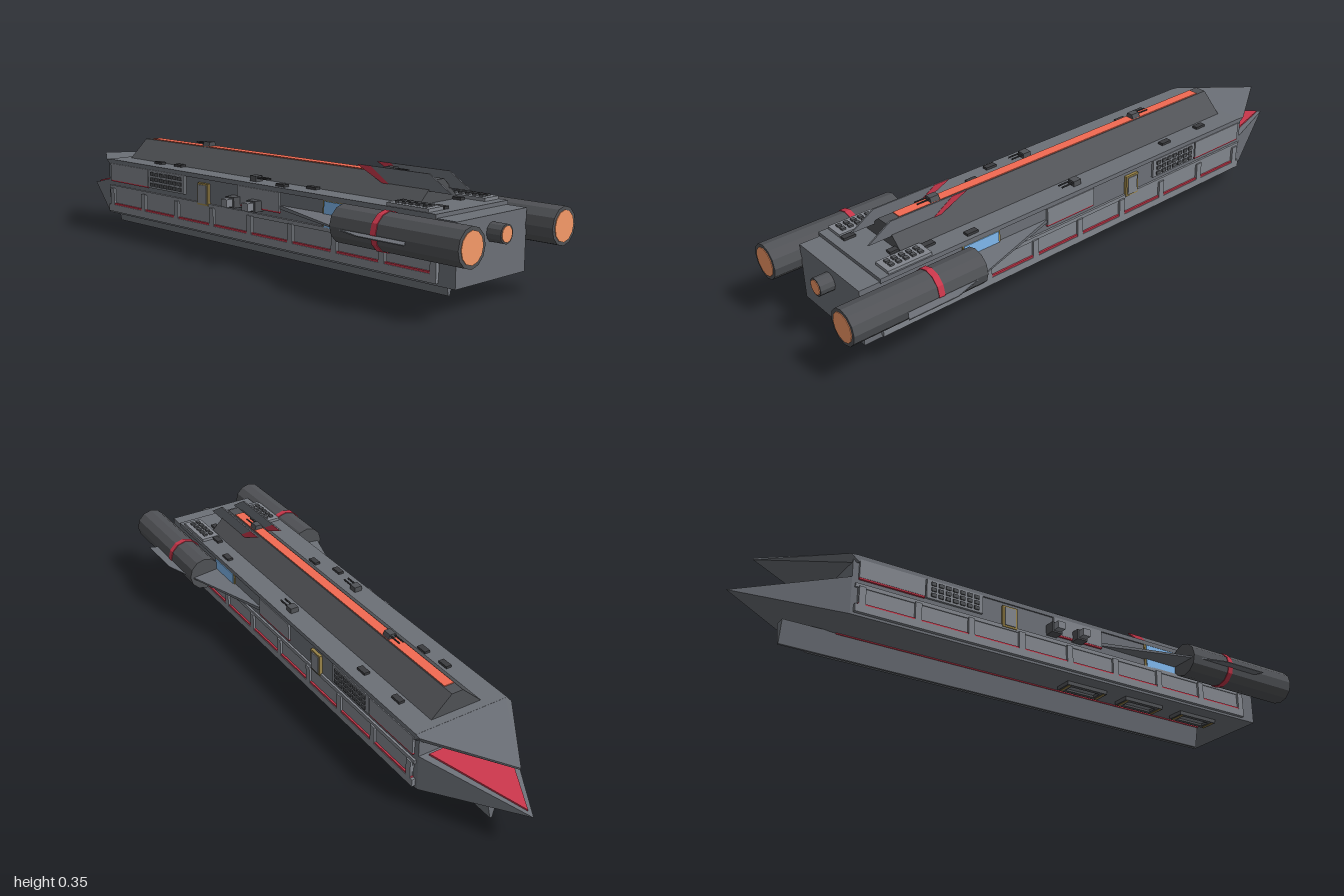
import * as THREE from 'three';
import { ConvexGeometry } from 'three/addons/geometries/ConvexGeometry.js';

const mat = (color) => new THREE.MeshStandardMaterial({ color, flatShading: true });
const M = {
  hull: mat(0x6c7077), dark: mat(0x505256), panel: mat(0x82868d), black: mat(0x3a3b3e),
  red: mat(0xc8364a), glow: mat(0xf79a68), strip: mat(0xf26a52), blue: mat(0x7fb8ee), yellow: mat(0x9a8448),
};

export function createModel() {
  const ship = new THREE.Group();
  ship.name = 'starship';

  const add = (name, geo, m, parent = ship) => {
    const mesh = new THREE.Mesh(geo, m);
    mesh.name = name;
    parent.add(mesh);
    return mesh;
  };
  // Box given by its extents
  const box = (name, m, x0, x1, y0, y1, z0, z1) => {
    const b = add(name, new THREE.BoxGeometry(Math.abs(x1 - x0), y1 - y0, z1 - z0), m);
    b.position.set((x0 + x1) / 2, (y0 + y1) / 2, (z0 + z1) / 2);
    return b;
  };
  const toShape = (pts) => new THREE.Shape(pts.map((p) => new THREE.Vector2(...p)));
  // Cross-section in xy run along z
  const prism = (name, m, pts, z0, z1) => {
    const g = new THREE.ExtrudeGeometry(toShape(pts), { depth: z1 - z0, bevelEnabled: false });
    return add(name, g.translate(0, 0, z0), m);
  };
  const solid = (name, m, pts) =>
    add(name, new ConvexGeometry(pts.map((p) => new THREE.Vector3(...p))), m);
  const tube = (name, m, r, x, y, z0, z1, sides = 12) => {
    const g = new THREE.CylinderGeometry(r, r, z1 - z0, sides).rotateX(Math.PI / 2);
    return add(name, g.translate(x, y, (z0 + z1) / 2), m);
  };

  // Main body and deck
  box('hull', M.hull, -0.16, 0.16, 0.072, 0.258, -0.68, 0.908);
  box('deck', M.hull, -0.165, 0.165, 0.255, 0.27, -0.67, 0.84);

  // Spine with glowing strip
  prism('spine', M.dark, [[-0.092, 0.268], [0.092, 0.268], [0.02, 0.335], [-0.02, 0.335]], -0.64, 0.72);
  box('spineStrip', M.strip, -0.017, 0.017, 0.33, 0.338, -0.6, 0.67);

  // Split nose: thin upper beak and lower wedge with a red inset
  solid('upperBeak', M.hull, [
    [-0.165, 0.27, -0.66], [0.165, 0.27, -0.66], [-0.165, 0.245, -0.66], [0.165, 0.245, -0.66],
    [-0.165, 0.268, -0.69], [0.165, 0.268, -0.69], [0, 0.256, -0.93], [0, 0.25, -0.93],
  ]);
  solid('lowerNose', M.hull, [
    [-0.16, 0.072, -0.68], [0.16, 0.072, -0.68], [-0.16, 0.195, -0.68], [0.16, 0.195, -0.68], [0, 0.13, -1],
  ]);
  solid('noseInset', M.red, [
    [-0.13, 0.199, -0.69], [0.13, 0.199, -0.69], [0, 0.14, -0.975],
    [-0.13, 0.188, -0.69], [0.13, 0.188, -0.69], [0, 0.132, -0.975],
  ]);

  // Keel
  prism('keel', M.hull, [[-0.02, 0.074], [-0.004, 0], [0.004, 0], [0.02, 0.074]], -0.83, 0.765);
  box('keelStripe', M.red, -0.023, 0.023, 0.069, 0.073, -0.66, 0.765);

  // Centre nozzle
  tube('centreNozzle', M.dark, 0.029, 0, 0.21, 0.9, 0.955);
  tube('centreNozzleGlow', M.glow, 0.024, 0, 0.21, 0.95, 0.957);

  for (const s of [-1, 1]) {
    // Engine pod
    const ex = s * 0.213;
    tube('enginePod', M.dark, 0.058, ex, 0.21, 0.545, 0.998);
    tube('engineBand', M.red, 0.0605, ex, 0.21, 0.7, 0.72);
    tube('engineGlow', M.glow, 0.047, ex, 0.21, 0.99, 1);

    // Swept wing, thick at the root and thin at the tip
    solid('wing', M.hull, [
      [s * 0.16, 0.214, 0.22], [s * 0.16, 0.202, 0.22], [s * 0.16, 0.218, 0.76], [s * 0.16, 0.198, 0.76],
      [s * 0.296, 0.204, 0.67], [s * 0.296, 0.201, 0.67], [s * 0.296, 0.204, 0.84], [s * 0.296, 0.201, 0.84],
    ]);

    // Tail fin: swept plate with a red leading corner
    const fin = (name, m, pts, t) => {
      const g = new THREE.ExtrudeGeometry(toShape(pts), { depth: t, bevelEnabled: false });
      g.rotateY(-Math.PI / 2).translate(s * 0.045 + t / 2, 0, 0);
      add(name, g, m);
    };
    fin('tailFin', M.hull, [[0.55, 0.305], [0.8, 0.305], [0.72, 0.355], [0.445, 0.355]], 0.005);
    fin('tailFinTip', M.red, [[0.55, 0.306], [0.575, 0.306], [0.5, 0.354], [0.445, 0.354]], 0.007);

    // Lower side gallery: rails, ribs and red line
    const side = (name, m, d, y0, y1, z0, z1) => box(name, m, s * 0.155, s * d, y0, y1, z0, z1);
    side('galleryTopRail', M.panel, 0.167, 0.162, 0.175, -0.67, 0.85);
    side('galleryBottomRail', M.panel, 0.172, 0.08, 0.105, -0.67, 0.85);
    side('galleryRedLine', M.red, 0.17, 0.105, 0.111, -0.66, 0.84);
    side('galleryBack', M.panel, 0.164, 0.1, 0.165, -0.66, 0.84);
    for (let i = 0; i < 9; i++) {
      const z = 0.84 - i * 0.186;
      side('galleryRib', M.panel, 0.172, 0.095, 0.165, z - 0.011, z + 0.011);
    }

    // Upper side panels with a red lower edge
    for (const [z0, z1] of [[0.035, 0.23], [-0.66, -0.44]]) {
      side('sidePanel', M.panel, 0.168, 0.195, 0.255, z0, z1);
      side('sidePanelEdge', M.red, 0.167, 0.19, 0.195, z0, z1);
    }

    // Vent grid
    side('ventBase', M.panel, 0.168, 0.192, 0.256, -0.435, -0.235);
    for (let r = 0; r < 3; r++) for (let c = 0; c < 7; c++) {
      const z = -0.42 + c * 0.0255, y = 0.199 + r * 0.019;
      side('vent', M.dark, 0.172, y, y + 0.012, z, z + 0.017);
    }

    // Door and intake window
    side('doorFrame', M.yellow, 0.17, 0.168, 0.242, -0.162, -0.108);
    side('door', M.panel, 0.173, 0.174, 0.236, -0.155, -0.115);
    side('intakeFrame', M.yellow, 0.164, 0.165, 0.258, 0.415, 0.555);
    side('intakeWindow', M.blue, 0.167, 0.172, 0.253, 0.422, 0.55);

    // Rear deck pads with two rows of studs
    box('deckPad', M.panel, s * 0.095, s * 0.16, 0.268, 0.28, 0.66, 0.81);
    for (let i = 0; i < 10; i++) {
      const x = s * (i % 2 ? 0.116 : 0.138), z = 0.685 + Math.floor(i / 2) * 0.025;
      box('padStud', M.dark, x - 0.007, x + 0.007, 0.279, 0.286, z - 0.007, z + 0.007);
    }

    // Deck gun
    box('gunMount', M.dark, s * 0.125 - 0.014, s * 0.125 + 0.014, 0.268, 0.288, 0.065, 0.095);
    for (const d of [-0.008, 0.008])
      tube('gunBarrel', M.black, 0.003, s * 0.125 + d, 0.282, 0.09, 0.14, 6);

    // Belly hatches: raised frame around a recessed cover
    for (const z of [0.69, 0.45, 0.21]) {
      const frame = toShape([[-0.03, -0.08], [0.03, -0.08], [0.03, 0.08], [-0.03, 0.08]]);
      frame.holes.push(new THREE.Path(
        [[-0.016, -0.058], [-0.016, 0.058], [0.016, 0.058], [0.016, -0.058]].map((p) => new THREE.Vector2(...p))));
      const g = new THREE.ExtrudeGeometry(frame, { depth: 0.014, bevelEnabled: false });
      add('hatchFrame', g.rotateX(Math.PI / 2).translate(s * 0.078, 0.073, z), M.dark);
      box('hatchCover', M.panel, s * 0.078 - 0.012, s * 0.078 + 0.012, 0.064, 0.073, z - 0.052, z + 0.052);
      for (const e of [-1, 1])
        box('hatchMarking', M.yellow, s * 0.078 - 0.026, s * 0.078 + 0.026, 0.0575, 0.06, z + e * 0.07 - 0.004, z + e * 0.07 + 0.004);
    }
  }

  // Spine turrets
  for (const [z, dir] of [[-0.3, -1], [0.54, 1]]) {
    prism('spineTurret', M.dark, [[-0.018, 0.334], [0.018, 0.334], [0.011, 0.353], [-0.011, 0.353]], z - 0.016, z + 0.016);
    for (const x of [-0.007, 0.007])
      tube('turretBarrel', M.black, 0.0025, x, 0.347, z + Math.min(0, dir * 0.06), z + Math.max(0, dir * 0.06), 6);
  }

  // Docking blocks on one flank
  for (const z of [0.03, 0.13]) {
    box('dockArm', M.dark, -0.195, -0.155, 0.185, 0.22, z - 0.02, z + 0.02);
    box('dockHead', M.panel, -0.22, -0.195, 0.19, 0.215, z - 0.014, z + 0.014);
  }

  // Small equipment boxes scattered on the deck
  for (const [x, z] of [[-0.11, -0.44], [-0.102, -0.34], [0.115, -0.51], [0.12, -0.335], [-0.14, 0.215],
    [-0.105, 0.315], [0.14, 0.505], [0.11, 0.64], [-0.08, 0.79], [0.07, 0.73]])
    box('deckBox', M.black, x - 0.01, x + 0.01, 0.265, 0.278, z - 0.02, z + 0.02);

  return ship;
}
